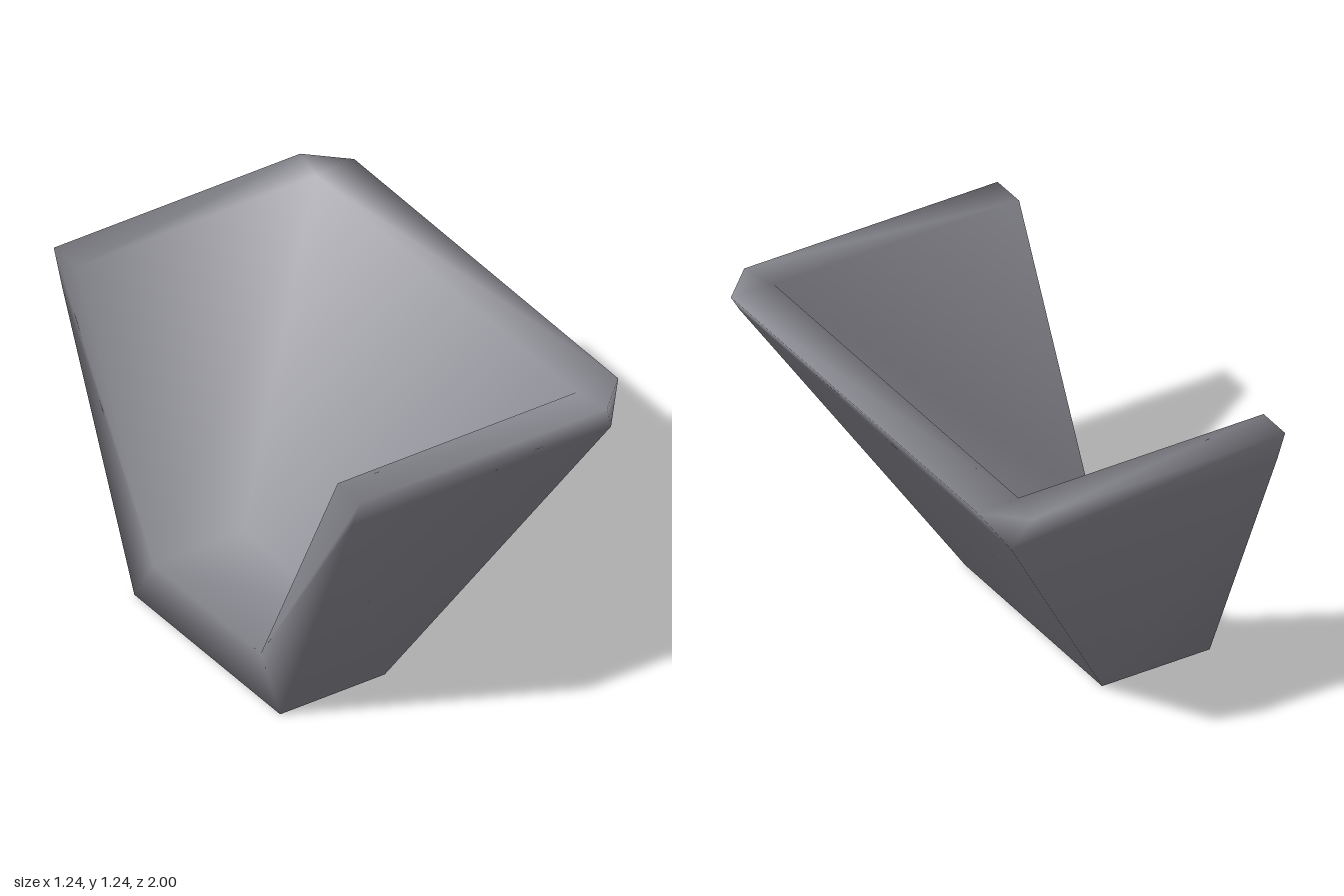
import * as THREE from 'three';
import { mergeVertices } from 'three/addons/utils/BufferGeometryUtils.js';

const OPEN_X = -0.62;

// One U-shaped section, open towards -x; the corner may be cut from (cornerX, z) to (x, cornerZ)
function section(y, x, z, cornerX = x, cornerZ = z, tilt = 0) {
  const half = [[OPEN_X, -z], [cornerX, -z], [x, -cornerZ]];
  const mirrored = half.map(([px, pz]) => [px, -pz]).reverse();
  return [...half, ...mirrored].map(([px, pz]) => new THREE.Vector3(px, y - tilt * pz, pz));
}

export function createModel() {
  const group = new THREE.Group();
  group.name = 'hopperScoop';
  const steel = new THREE.MeshStandardMaterial({ color: 0x8a8a92 });
  steel.name = 'grey steel';

  // Sections run up the outside, over the slightly tilted lip and down the inside
  const rings = [
    section(0, -0.155, 0.475),
    section(1.1, 0.53, 0.945),
    section(1.237, 0.62, 1, 0.475, 0.86, 0.007),
    section(1.238, 0.44, 0.85, 0.44, 0.85, 0.007),
    section(0.2, -0.22, 0.35),
  ];

  const positions = [];
  const tri = (a, b, c) => {
    if (a.equals(b) || b.equals(c) || a.equals(c)) return;
    for (const p of [a, b, c]) positions.push(p.x, p.y, p.z);
  };
  const quad = (a, b, c, d) => { tri(a, b, c); tri(a, c, d); };

  // Walls and lip; the back and end walls are split along the other diagonal
  for (let j = 0; j < rings.length - 1; j++) {
    const low = rings[j], high = rings[j + 1];
    for (let i = 0; i < 5; i++) {
      if (i < 3) quad(high[i], high[i + 1], low[i + 1], low[i]);
      else quad(low[i], high[i], high[i + 1], low[i + 1]);
    }
  }

  // Underside and inner floor
  const base = rings[0], floor = rings[4];
  quad(base[0], base[1], base[4], base[5]);
  quad(floor[0], floor[5], floor[4], floor[1]);

  // Edge of the open end: bottom strip and both sides
  quad(base[0], base[5], floor[5], floor[0]);
  for (let j = 3; j > 0; j--) {
    tri(floor[0], rings[j][0], rings[j - 1][0]);
    tri(floor[5], rings[j - 1][5], rings[j][5]);
  }

  // Shared vertices give smooth shading across the shell
  let geometry = new THREE.BufferGeometry();
  geometry.setAttribute('position', new THREE.Float32BufferAttribute(positions, 3));
  geometry = mergeVertices(geometry);
  geometry.computeVertexNormals();

  const shell = new THREE.Mesh(geometry, steel);
  shell.name = 'scoopShell';
  group.add(shell);
  return group;
}
